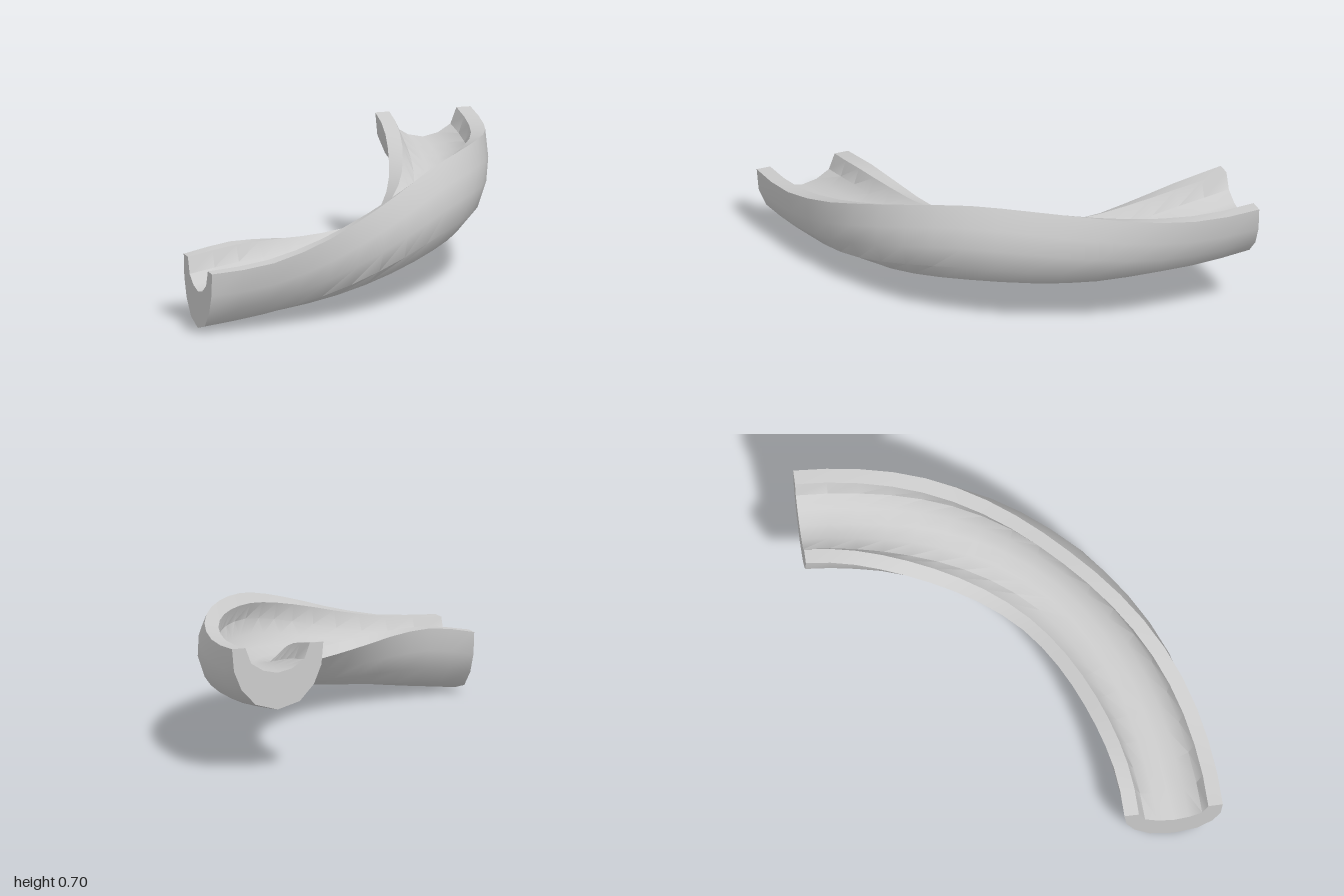
import * as THREE from 'three';
import { toCreasedNormals } from 'three/addons/utils/BufferGeometryUtils.js';

const RADIUS = 1.738; // turn radius of the channel's centre line, around (-1, -1)
const RISE = 0.34; // height gained over the quarter turn
const RIM = 0.34; // height of the rims, which is also the banking pivot

// Half cross-section, from the underside up over the rim and down into the groove
const outside = [[0.125, 0.035], [0.205, 0.12], [0.247, 0.22], [0.258, RIM]];
const groove = [[0.182, RIM], [0.15, 0.255], [0.08, 0.212]];

// Banking angle in degrees at even steps along the turn
const banking = new THREE.SplineCurve(
  [0, -2, 7, 21, 33, 40, 37, 28, 15, 4, 0].map((deg, i) => new THREE.Vector2(i, deg))
);

function channelShape() {
  const right = [...outside, ...groove];
  const left = right.map(([x, y]) => [-x, y]).reverse();
  const points = [[0, 0], ...right, [0, 0.195], ...left];
  return new THREE.Shape(points.map(([x, y]) => new THREE.Vector2(x, y)));
}

// Bends a straight channel (z from 0 to 1) into the climbing, banked turn
function bend(geometry) {
  const pos = geometry.attributes.position;
  for (let i = 0; i < pos.count; i++) {
    const t = THREE.MathUtils.clamp(pos.getZ(i), 0, 1);
    const angle = t * Math.PI / 2;
    const bank = THREE.MathUtils.degToRad(banking.getPoint(t).y);
    const across = -pos.getX(i);
    const up = pos.getY(i) - RIM;
    const r = RADIUS + across * Math.cos(bank) - up * Math.sin(bank);
    const y = RIM + RISE * t + across * Math.sin(bank) + up * Math.cos(bank);
    pos.setXYZ(i, -1 + r * Math.sin(angle), y, -1 + r * Math.cos(angle));
  }
  return geometry;
}

export function createModel() {
  const group = new THREE.Group();
  group.name = 'bankedTrackCurve';

  // Grooved channel with closed ends
  const straight = new THREE.ExtrudeGeometry(channelShape(), {
    depth: 1, steps: 18, bevelEnabled: false,
  });
  const geometry = toCreasedNormals(bend(straight), THREE.MathUtils.degToRad(38));
  const channel = new THREE.Mesh(geometry, new THREE.MeshStandardMaterial({ color: 0xcccccc }));
  channel.name = 'trackChannel';
  group.add(channel);

  return group;
}
